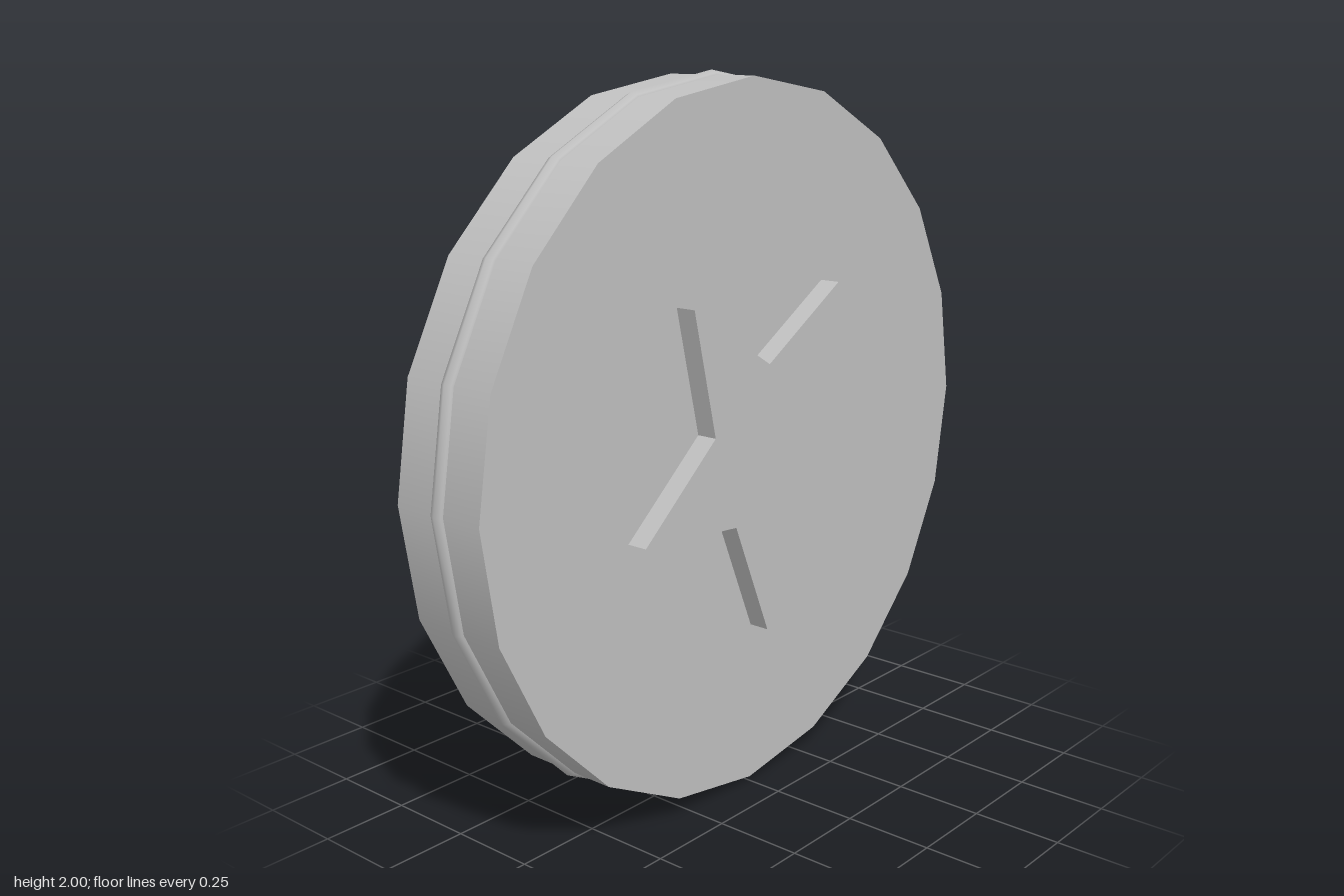
import * as THREE from 'three';

const SIDES = 20;

// Inverted five-pointed star outline
function starShape(outer, inner) {
  const points = [];
  for (let i = 0; i < 10; i++) {
    const a = -Math.PI / 2 + (i * Math.PI) / 5;
    const r = i % 2 ? inner : outer;
    points.push(new THREE.Vector2(r * Math.cos(a), r * Math.sin(a)));
  }
  return new THREE.Shape(points);
}

export function createModel() {
  const model = new THREE.Group();
  model.name = 'starMedallion';
  const silver = new THREE.MeshStandardMaterial({ color: 0xc0c0c0 });
  silver.name = 'silver grey';

  const add = (name, geometry, z = 0) => {
    const mesh = new THREE.Mesh(geometry, silver);
    mesh.name = name;
    mesh.position.set(0, 1, z);
    model.add(mesh);
    return mesh;
  };

  // Thick disc with its flat faces to front and back
  add('disc', new THREE.CylinderGeometry(0.987, 0.987, 0.29, SIDES).rotateX(Math.PI / 2));

  // Thin raised bead around the middle of the edge
  add('edgeBead', new THREE.TorusGeometry(0.975, 0.025, 8, SIDES));

  // Raised star on each face
  const star = new THREE.ExtrudeGeometry(starShape(0.52, 0.235), { depth: 0.06, bevelEnabled: false });
  add('frontStar', star, 0.145);
  add('backStar', star, -0.145).rotation.y = Math.PI;

  return model;
}
